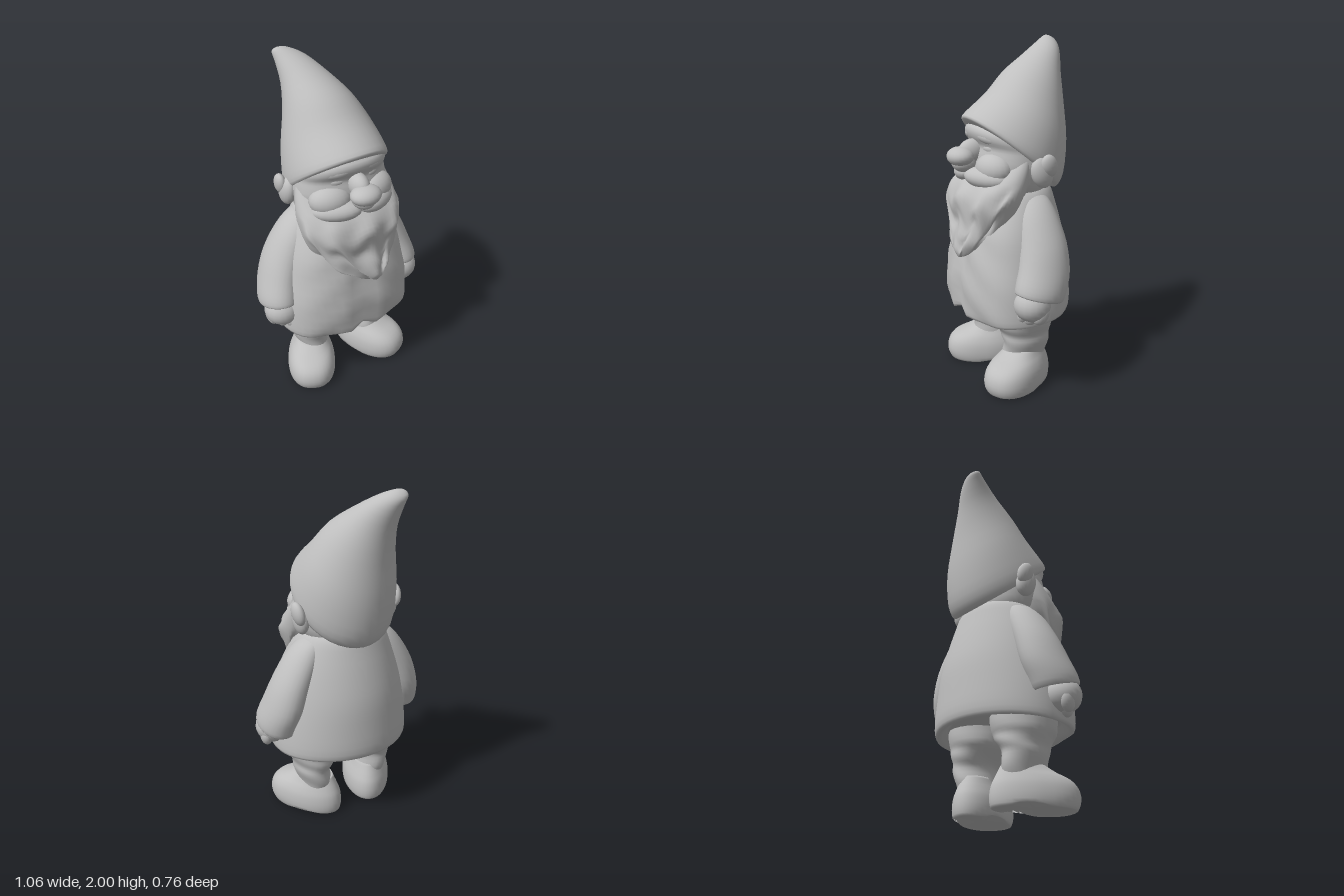
import * as THREE from 'three';

const clay = new THREE.MeshStandardMaterial({ color: 0xbfbfbf });
clay.name = 'grey clay';

// Skin over rings, listed from bottom to top.
// Ring: [frontY, frontZ, backY, backZ, centreX, halfWidth]
function loft(rings, { side = 1, steps = 3, seg = 36, square = 2, egg = 0, warp } = {}) {
  const spline = (i, j) => new THREE.SplineCurve(rings.map(r => new THREE.Vector2(r[i], r[j])));
  const front = spline(0, 1), back = spline(2, 3), width = spline(4, 5);
  const count = (rings.length - 1) * steps, pos = [], index = [], p = new THREE.Vector3();
  for (let j = 0; j <= count; j++) {
    const t = j / count, f = front.getPoint(t), b = back.getPoint(t), w = width.getPoint(t);
    for (let i = 0; i < seg; i++) {
      const a = i / seg * Math.PI * 2;
      let c = Math.cos(a), s = Math.sin(a);
      if (c > 0) {
        c = Math.pow(c, 2 / square);
        s = Math.sign(s) * Math.pow(Math.abs(s), 2 / square);
      }
      p.set(w.x * side + s * w.y * (1 + egg * c),
        (f.x + b.x) / 2 + c * (f.x - b.x) / 2,
        (f.y + b.y) / 2 + c * (f.y - b.y) / 2);
      if (warp) warp(p, a, t);
      pos.push(p.x, p.y, p.z);
    }
  }
  for (let j = 0; j < count; j++) for (let i = 0; i < seg; i++) {
    const k = (i + 1) % seg, a = j * seg + i, b = j * seg + k;
    index.push(a, b, a + seg, b, b + seg, a + seg);
  }
  // end caps
  for (const j of [0, count]) {
    const mid = new THREE.Vector3(), n = pos.length / 3;
    for (let i = 0; i < seg; i++) mid.add(p.fromArray(pos, (j * seg + i) * 3));
    mid.divideScalar(seg);
    pos.push(mid.x, mid.y, mid.z);
    for (let i = 0; i < seg; i++) {
      const a = j * seg + i, b = j * seg + (i + 1) % seg;
      j ? index.push(a, b, n) : index.push(b, a, n);
    }
  }
  const g = new THREE.BufferGeometry();
  g.setAttribute('position', new THREE.Float32BufferAttribute(pos, 3));
  g.setIndex(index);
  g.computeVertexNormals();
  return g;
}

export function createModel() {
  const model = new THREE.Group();
  model.name = 'gardenGnome';
  const add = (name, geometry) => {
    const m = new THREE.Mesh(geometry, clay);
    m.name = name;
    model.add(m);
    return m;
  };
  const blob = (name, at, size, rot = [0, 0, 0]) => {
    const m = add(name, new THREE.SphereGeometry(1, 20, 14));
    m.position.set(...at);
    m.scale.set(...size);
    m.rotation.set(...rot);
  };

  // Pointed hat, brim high in front and low behind, tip leaning to the side
  add('hat', loft([
    [1.52, 0.21, 1.17, -0.22, 0, 0.26],
    [1.565, 0.265, 1.13, -0.262, 0, 0.288],
    [1.60, 0.25, 1.21, -0.312, 0, 0.292],
    [1.70, 0.12, 1.40, -0.335, -0.005, 0.258],
    [1.81, 0.01, 1.62, -0.335, -0.025, 0.197],
    [1.90, -0.13, 1.78, -0.345, -0.06, 0.135],
    [1.97, -0.25, 1.90, -0.37, -0.105, 0.088],
    [1.998, -0.31, 1.96, -0.378, -0.145, 0.05],
    [2.0, -0.335, 1.99, -0.355, -0.155, 0.015],
  ]));

  // Face: broad front under the brim, brow ridge, nose
  add('head', loft([
    [1.08, 0.10, 1.10, -0.16, 0, 0.17],
    [1.18, 0.20, 1.18, -0.20, 0, 0.25],
    [1.30, 0.23, 1.28, -0.20, 0, 0.28],
    [1.37, 0.225, 1.33, -0.20, 0, 0.278],
    [1.42, 0.215, 1.36, -0.20, 0, 0.272],
    [1.47, 0.24, 1.38, -0.20, 0, 0.268],
    [1.52, 0.235, 1.40, -0.20, 0, 0.25],
    [1.57, 0.16, 1.42, -0.15, 0, 0.18],
  ], { square: 2.2 }));
  blob('noseTip', [0, 1.36, 0.31], [0.09, 0.055, 0.075]);
  blob('noseBase', [0, 1.325, 0.29], [0.065, 0.055, 0.07]);
  blob('noseBridge', [0, 1.385, 0.235], [0.055, 0.07, 0.085]);

  // Wavy beard with a ragged tip
  add('beard', loft([
    [0.795, 0.36, 0.81, 0.29, 0.06, 0.02],
    [0.84, 0.375, 0.86, 0.22, 0.045, 0.10],
    [0.92, 0.355, 0.92, 0.16, 0.01, 0.185],
    [1.0, 0.335, 1.0, 0.09, 0, 0.25],
    [1.1, 0.345, 1.1, -0.01, 0, 0.30],
    [1.19, 0.305, 1.2, -0.06, 0, 0.31],
    [1.28, 0.21, 1.3, -0.07, 0, 0.295],
    [1.36, 0.12, 1.38, -0.06, 0, 0.27],
  ], {
    seg: 72, steps: 4, square: 2.15, warp(p, a, t) {
      const k = Math.sin(Math.min(1, t * 1.25) * Math.PI);
      const wave = Math.sin(a * 9 + Math.sin(t * 14) * 1.2) * (0.7 + 0.5 * Math.sin(t * 22 + a * 4));
      p.x *= 1 + 0.04 * k * wave;
      p.z += 0.013 * k * wave;
      if (t < 0.75) p.y += 0.028 * k * Math.sin(a * 9 + 1);
    },
  }));

  // Coat with a front seam, soft dents and a notched hem
  add('coat', loft([
    [0.50, 0.24, 0.50, -0.25, 0, 0.33],
    [0.43, 0.31, 0.455, -0.315, 0, 0.405],
    [0.475, 0.335, 0.50, -0.34, 0, 0.42],
    [0.63, 0.34, 0.64, -0.335, 0, 0.41],
    [0.80, 0.315, 0.80, -0.322, 0, 0.38],
    [0.95, 0.28, 0.95, -0.29, 0, 0.345],
    [1.08, 0.22, 1.08, -0.255, 0, 0.295],
    [1.17, 0.16, 1.17, -0.225, 0, 0.24],
    [1.22, 0.10, 1.22, -0.16, 0, 0.16],
  ], {
    seg: 48, square: 2.5, egg: 0.06, warp(p, a, t) {
      const low = Math.max(0, 1 - t * 2.2), facing = Math.max(0, Math.cos(a));
      if (a === 0 && t > 0) {
        p.z -= 0.02;
        p.y += 0.07 * Math.max(0, 1 - t * 3);
      }
      p.z += 0.012 * low * Math.cos(a * 7) * facing;
      p.z += 0.005 * facing * Math.sin(p.y * 30 + Math.abs(p.x) * 18);
    },
  }));

  for (const s of [1, -1]) {
    const tag = s > 0 ? 'left' : 'right';

    // Full cheek running into the moustache lobe, with lid and brow
    blob(tag + 'Cheek', [s * 0.14, 1.30, 0.17], [0.12, 0.09, 0.09], [0, s * 0.3, 0]);
    blob(tag + 'Moustache', [s * 0.125, 1.25, 0.21], [0.145, 0.062, 0.08], [0, s * 0.5, s * -0.05]);
    blob(tag + 'Eyelid', [s * 0.11, 1.41, 0.17], [0.06, 0.032, 0.035], [0, s * 0.35, 0]);
    blob(tag + 'Eyebrow', [s * 0.11, 1.47, 0.18], [0.10, 0.04, 0.045], [0, s * 0.4, s * -0.15]);

    // Ear: lobe with a raised rim
    blob(tag + 'Ear', [s * 0.285, 1.285, -0.05], [0.045, 0.09, 0.065], [0.35, 0, 0]);
    blob(tag + 'EarRim', [s * 0.312, 1.325, -0.08], [0.033, 0.068, 0.05], [0.35, 0, s * -0.15]);

    // Sleeve
    add(tag + 'Sleeve', loft([
      [0.68, 0.13, 0.63, -0.05, 0.405, 0.08],
      [0.655, 0.175, 0.58, -0.10, 0.412, 0.112],
      [0.70, 0.17, 0.64, -0.13, 0.41, 0.118],
      [0.79, 0.14, 0.75, -0.165, 0.385, 0.115],
      [0.90, 0.115, 0.90, -0.168, 0.34, 0.113],
      [1.04, 0.09, 1.04, -0.15, 0.27, 0.103],
      [1.13, 0.05, 1.13, -0.12, 0.215, 0.075],
      [1.17, 0.01, 1.17, -0.08, 0.17, 0.03],
    ], { side: s, seg: 28 }));

    // Hand with curled fingers and thumb
    blob(tag + 'Palm', [s * 0.415, 0.585, 0.08], [0.108, 0.10, 0.105]);
    for (let i = 0; i < 4; i++) {
      blob(tag + 'Finger', [s * (0.475 - i * 0.042), 0.535 - Math.sin(i) * 0.012, 0.055 + i * 0.032],
        [0.034, 0.06, 0.045], [-0.4, 0, s * -0.15]);
    }
    blob(tag + 'Thumb', [s * 0.335, 0.60, 0.15], [0.038, 0.07, 0.04], [-0.3, 0, s * 0.35]);

    // Trouser leg with soft folds
    add(tag + 'Leg', loft([
      [0.14, 0.13, 0.14, -0.12, 0.185, 0.09],
      [0.20, 0.14, 0.20, -0.135, 0.19, 0.096],
      [0.28, 0.14, 0.28, -0.14, 0.21, 0.105],
      [0.33, 0.155, 0.33, -0.15, 0.20, 0.118],
      [0.38, 0.18, 0.38, -0.16, 0.188, 0.15],
      [0.43, 0.20, 0.43, -0.17, 0.182, 0.172],
      [0.53, 0.22, 0.53, -0.18, 0.182, 0.178],
    ], {
      side: s, seg: 28,
      warp(p, a, t) { p.z += 0.004 * Math.sin(t * 20 + a * 2); },
    }));

    // Boot: round toe turned outward, arched sole
    const boot = add(tag + 'Boot', loft([
      [0.012, 0.26, 0.012, -0.15, 0, 0.115],
      [0.01, 0.285, 0.01, -0.175, 0, 0.138],
      [0.06, 0.305, 0.06, -0.185, 0, 0.148],
      [0.12, 0.295, 0.12, -0.178, 0, 0.143],
      [0.165, 0.255, 0.165, -0.16, 0, 0.126],
      [0.20, 0.18, 0.195, -0.145, 0, 0.106],
      [0.235, 0.12, 0.235, -0.125, 0, 0.088],
    ], {
      egg: 0.08, square: 2.3,
      warp(p, a, t) {
        if (t < 0.2) p.y += 0.025 * Math.exp(-Math.pow((p.z + 0.01) / 0.06, 2));
        p.y = Math.max(0, p.y - 0.004);
      },
    }));
    boot.position.x = s * 0.19;
    boot.rotation.y = s * 0.45;
  }
  return model;
}
